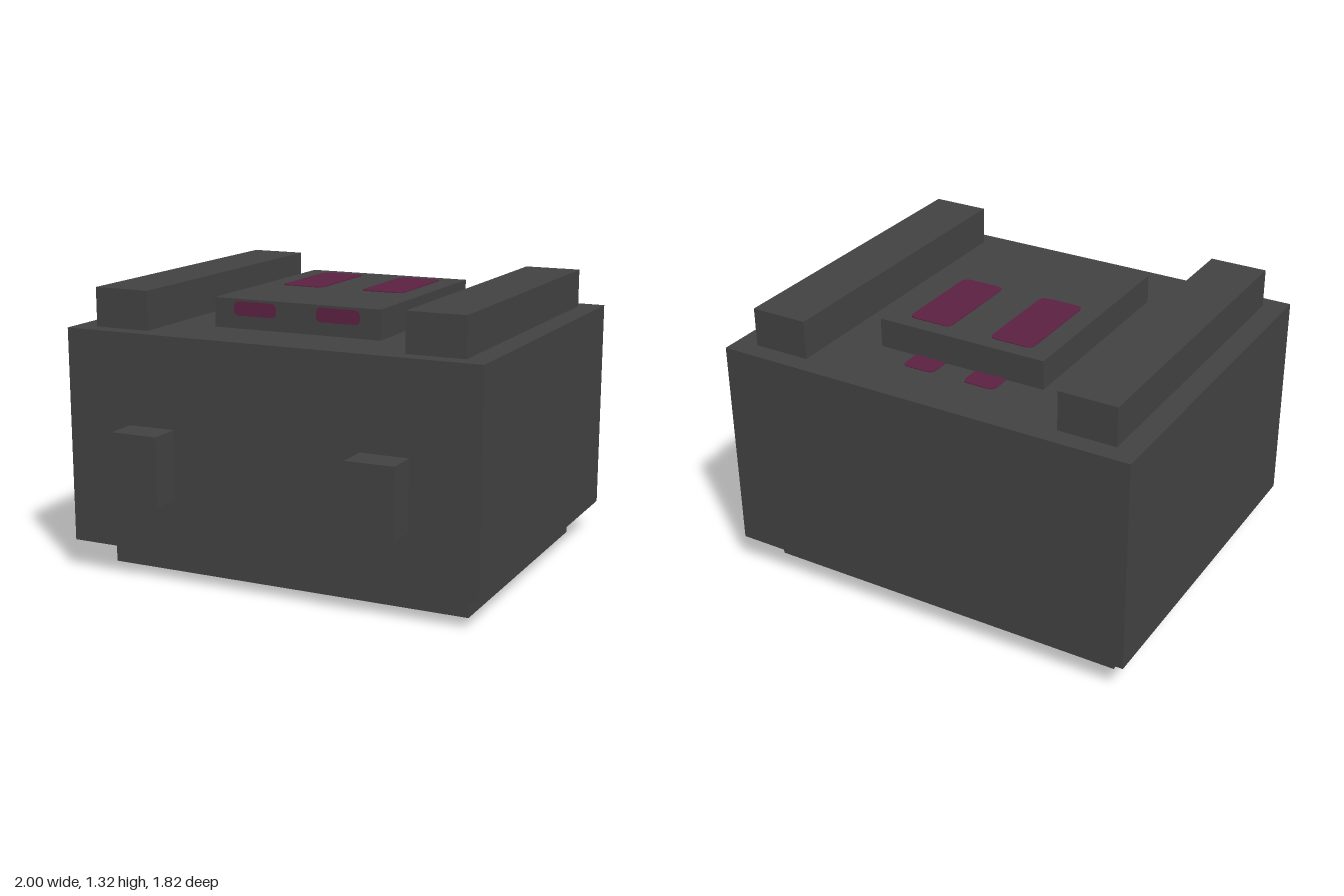
import * as THREE from 'three';

export function createModel() {
  const group = new THREE.Group();
  const casing = new THREE.MeshStandardMaterial({ color: 0x424242 });
  casing.name = 'charcoal casing';
  const paint = new THREE.MeshStandardMaterial({ color: 0x5b2140 });
  paint.name = 'plum paint';

  // Box given by its minimum and maximum corners
  function box(name, [x0, y0, z0], [x1, y1, z1]) {
    const mesh = new THREE.Mesh(new THREE.BoxGeometry(x1 - x0, y1 - y0, z1 - z0), casing);
    mesh.name = name;
    mesh.position.set((x0 + x1) / 2, (y0 + y1) / 2, (z0 + z1) / 2);
    group.add(mesh);
  }

  // Thin painted plate with rounded corners, facing +z before placement
  function plate(name, w, h, r) {
    const s = new THREE.Shape();
    const x = w / 2, y = h / 2;
    s.moveTo(-x + r, -y);
    s.lineTo(x - r, -y);
    s.quadraticCurveTo(x, -y, x, -y + r);
    s.lineTo(x, y - r);
    s.quadraticCurveTo(x, y, x - r, y);
    s.lineTo(-x + r, y);
    s.quadraticCurveTo(-x, y, -x, y - r);
    s.lineTo(-x, -y + r);
    s.quadraticCurveTo(-x, -y, -x + r, -y);
    const geometry = new THREE.ExtrudeGeometry(s, { depth: 0.004, bevelEnabled: false, curveSegments: 4 });
    const mesh = new THREE.Mesh(geometry, paint);
    mesh.name = name;
    group.add(mesh);
    return mesh;
  }

  // Main block, recessed plinth and raised hatch
  box('body', [-1, 0.14, -0.91], [1, 1.14, 0.76]);
  box('plinth', [-0.89, 0, -0.77], [0.89, 0.14, 0.59]);
  box('hatch', [-0.41, 1.14, -0.55], [0.41, 1.275, 0.45]);

  for (const [side, label] of [[1, 'left'], [-1, 'right']]) {
    // Top rails and front pegs
    const span = (a, b) => (side > 0 ? [a, b] : [-b, -a]);
    const [r0, r1] = span(0.625, 0.895);
    box(label + 'Rail', [r0, 1.14, -0.82], [r1, 1.32, 0.68]);
    const [p0, p1] = span(0.455, 0.68);
    box(label + 'Peg', [p0, 0.4, 0.76], [p1, 0.72, 0.91]);

    // Painted bars on the hatch top, hatch front and body top behind the hatch
    const top = plate(label + 'HatchStripe', 0.21, 0.465, 0.035);
    top.rotation.x = -Math.PI / 2;
    top.position.set(side * 0.205, 1.275, -0.2425);

    plate(label + 'HatchFrontStripe', 0.21, 0.065, 0.025).position.set(side * 0.205, 1.232, 0.45);

    const rear = plate(label + 'RearStripe', 0.155, 0.14, 0.03);
    rear.rotation.x = -Math.PI / 2;
    rear.position.set(side * 0.1525, 1.14, -0.59);
  }

  return group;
}
